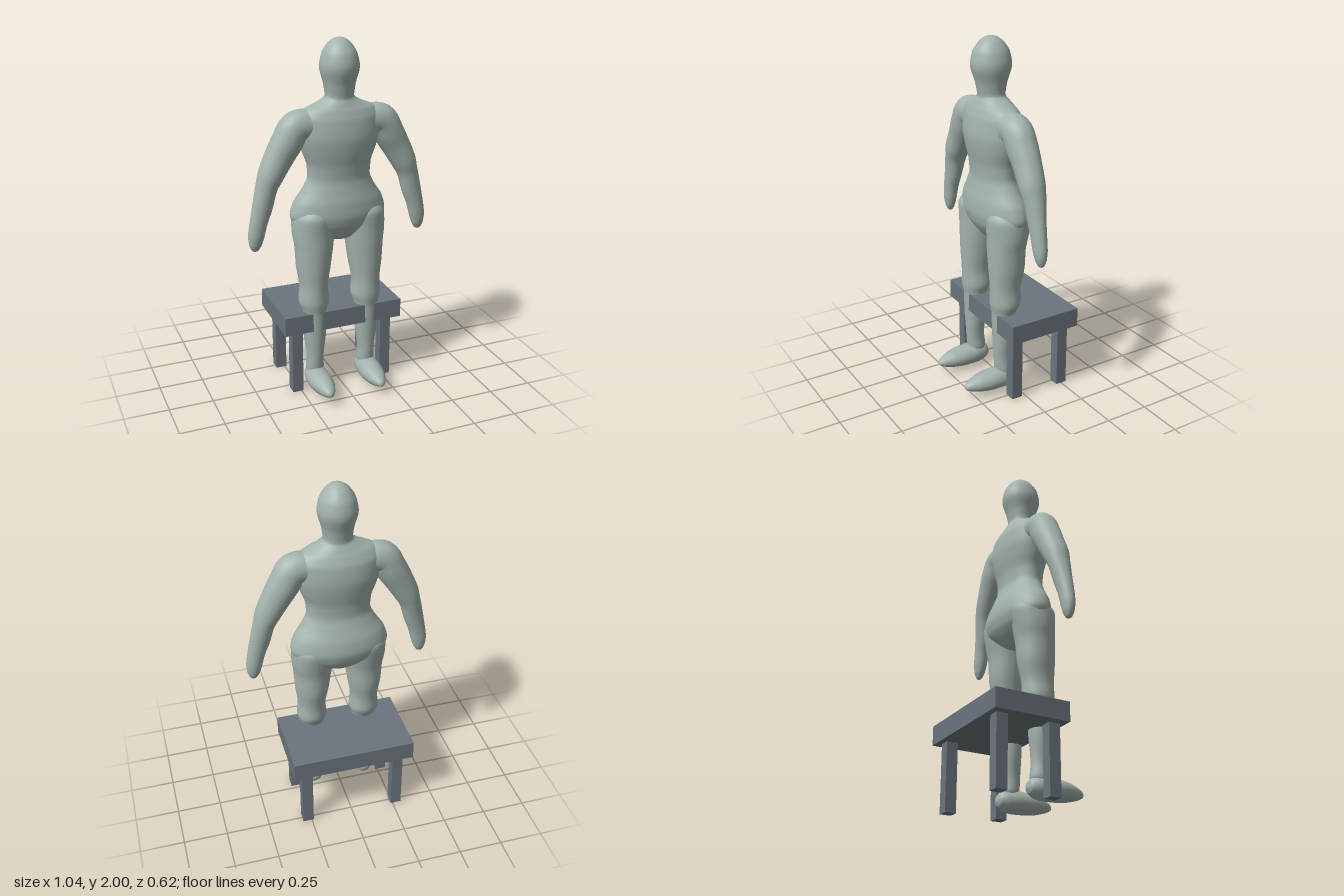
import * as THREE from 'three';

const bodyMat = new THREE.MeshStandardMaterial({ name: 'pale grey green', color: 0xa3b3ae });
const benchMat = new THREE.MeshStandardMaterial({ name: 'slate grey', color: 0x6b757d });

const X = new THREE.Vector3(1, 0, 0);
const Z = new THREE.Vector3(0, 0, 1);

// Smooth loft through elliptical rings. Each row is [x, y, z, radius across, radius along axis].
function loft(name, rows, axis, mirror = 1, sides = 36, steps = 5) {
  const centres = new THREE.CatmullRomCurve3(rows.map(r => new THREE.Vector3(r[0] * mirror, r[1], r[2])));
  const radii = new THREE.CatmullRomCurve3(rows.map(r => new THREE.Vector3(r[3], r[4], 0)));
  const n = (rows.length - 1) * steps;
  const pos = [], index = [];
  for (let i = 0; i <= n; i++) {
    const c = centres.getPoint(i / n), r = radii.getPoint(i / n);
    const t = centres.getTangent(i / n);
    t.addScaledVector(axis, -t.dot(axis)).normalize();
    const u = axis.clone().cross(t);
    for (let j = 0; j < sides; j++) {
      const a = j / sides * Math.PI * 2;
      const p = c.clone()
        .addScaledVector(u, Math.cos(a) * Math.max(r.x, 0))
        .addScaledVector(axis, Math.sin(a) * Math.max(r.y, 0));
      pos.push(p.x, p.y, p.z);
      if (i < n) {
        const k = (j + 1) % sides, b = i * sides, d = b + sides;
        index.push(b + j, b + k, d + j, b + k, d + k, d + j);
      }
    }
  }
  const g = new THREE.BufferGeometry();
  g.setAttribute('position', new THREE.Float32BufferAttribute(pos, 3));
  g.setIndex(index);
  g.computeVertexNormals();
  const mesh = new THREE.Mesh(g, bodyMat);
  mesh.name = name;
  return mesh;
}

// Head, neck, chest, waist and hips, from the crotch upward
const torso = [
  [0, 0.885, 0.02, 0, 0],
  [0, 0.9, 0.02, 0.07, 0.06],
  [0, 0.94, 0.015, 0.17, 0.1],
  [0, 0.99, 0.013, 0.25, 0.13],
  [0, 1.05, 0.013, 0.275, 0.143],
  [0, 1.12, 0.016, 0.255, 0.137],
  [0, 1.19, 0.022, 0.208, 0.118],
  [0, 1.26, 0.028, 0.178, 0.104],
  [0, 1.33, 0.03, 0.182, 0.109],
  [0, 1.41, 0.03, 0.21, 0.124],
  [0, 1.49, 0.029, 0.23, 0.131],
  [0, 1.58, 0.028, 0.235, 0.12],
  [0, 1.63, 0.031, 0.2, 0.1],
  [0, 1.66, 0.033, 0.13, 0.085],
  [0, 1.695, 0.036, 0.079, 0.073],
  [0, 1.76, 0.037, 0.086, 0.085],
  [0, 1.85, 0.037, 0.106, 0.111],
  [0, 1.92, 0.037, 0.092, 0.098],
  [0, 1.97, 0.037, 0.06, 0.064],
  [0, 1.992, 0.037, 0.03, 0.032],
  [0, 2.0, 0.037, 0, 0],
];

// Shoulder, elbow, wrist and mitten hand
const arm = [
  [0.1, 1.52, 0.03, 0.07, 0.07],
  [0.18, 1.55, 0.03, 0.085, 0.08],
  [0.245, 1.54, 0.03, 0.088, 0.082],
  [0.29, 1.47, 0.028, 0.086, 0.082],
  [0.34, 1.385, 0.027, 0.079, 0.074],
  [0.387, 1.295, 0.03, 0.07, 0.07],
  [0.412, 1.23, 0.03, 0.059, 0.06],
  [0.437, 1.13, 0.033, 0.056, 0.048],
  [0.46, 1.05, 0.035, 0.049, 0.041],
  [0.477, 0.97, 0.035, 0.045, 0.036],
  [0.483, 0.92, 0.034, 0.035, 0.028],
  [0.486, 0.887, 0.033, 0.018, 0.014],
  [0.487, 0.878, 0.033, 0, 0],
];

// Thigh, knee, calf and ankle
const leg = [
  [0.15, 1.12, 0.02, 0.05, 0.07],
  [0.15, 1.04, 0.02, 0.115, 0.125],
  [0.15, 0.95, 0.026, 0.118, 0.115],
  [0.15, 0.87, 0.034, 0.108, 0.107],
  [0.155, 0.75, 0.036, 0.096, 0.102],
  [0.157, 0.63, 0.044, 0.08, 0.088],
  [0.157, 0.55, 0.045, 0.086, 0.087],
  [0.156, 0.48, 0.055, 0.067, 0.067],
  [0.157, 0.35, 0.057, 0.065, 0.062],
  [0.157, 0.2, 0.058, 0.048, 0.055],
  [0.157, 0.13, 0.052, 0.051, 0.056],
  [0.157, 0.08, 0.05, 0.03, 0.03],
];

// Rounded foot, heel to toe
const foot = [
  [0.157, 0.07, -0.025, 0, 0],
  [0.157, 0.071, -0.014, 0.032, 0.034],
  [0.157, 0.075, 0.02, 0.056, 0.054],
  [0.157, 0.077, 0.08, 0.063, 0.065],
  [0.157, 0.076, 0.15, 0.059, 0.067],
  [0.156, 0.075, 0.22, 0.049, 0.056],
  [0.155, 0.072, 0.28, 0.029, 0.033],
  [0.155, 0.07, 0.303, 0.014, 0.016],
  [0.155, 0.07, 0.31, 0, 0],
];

function box(name, w, h, d, x, y, z) {
  const mesh = new THREE.Mesh(new THREE.BoxGeometry(w, h, d), benchMat);
  mesh.name = name;
  mesh.position.set(x, y, z);
  return mesh;
}

export function createModel() {
  const model = new THREE.Group();
  model.name = 'figureWithBench';

  const figure = new THREE.Group();
  figure.name = 'figure';
  figure.add(loft('headAndTorso', torso, Z, 1, 48));
  for (const [side, s] of [['left', 1], ['right', -1]]) {
    figure.add(
      loft(side + 'Arm', arm, Z, s),
      loft(side + 'Leg', leg, Z, s),
      loft(side + 'Foot', foot, X, s),
    );
  }

  // Bench: slab seat on four square legs
  const bench = new THREE.Group();
  bench.name = 'bench';
  bench.add(box('seat', 0.7, 0.108, 0.43, 0, 0.434, -0.1));
  for (const x of [-0.27, 0.27]) {
    for (const z of [0.052, -0.25]) bench.add(box('benchLeg', 0.062, 0.38, 0.064, x, 0.19, z));
  }

  model.add(figure, bench);
  return model;
}
